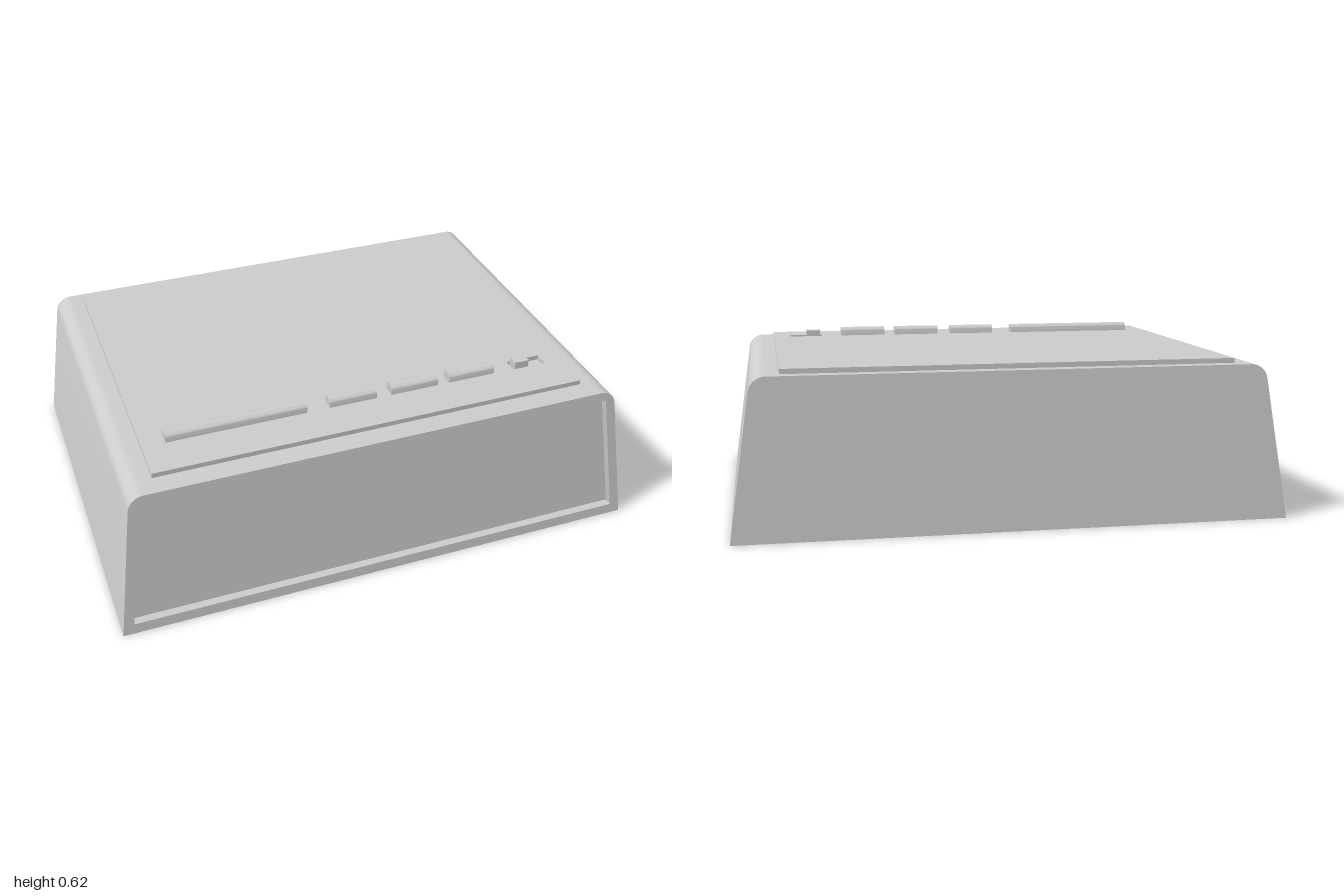
import * as THREE from 'three';
import { toCreasedNormals } from 'three/addons/utils/BufferGeometryUtils.js';

const H = 0.565;                              // height of the casing
const RECESS = 0.03;                          // depth of the front recess
const faceZ = (y) => 0.742 - 0.052 * y / H;   // sloping front and back faces
const material = new THREE.MeshStandardMaterial({ color: 0xcccccc });

function addMesh(group, name, geometry) {
  const mesh = new THREE.Mesh(toCreasedNormals(geometry, 0.5), material);
  mesh.name = name;
  group.add(mesh);
  return mesh;
}

function extrude(shape, depth) {
  return new THREE.ExtrudeGeometry(shape, { depth, bevelEnabled: false, curveSegments: 12 });
}

// Closed polygon used for openings
function polygon(points) {
  return new THREE.Path(points.map(([x, y]) => new THREE.Vector2(x, y)));
}

// Tapered cross-section with rounded top corners
function casingShape() {
  const r = 0.06, slope = 0.144, a = Math.atan(slope), cy = H - r;
  const cx = 1 - slope * cy - r / Math.cos(a);
  const s = new THREE.Shape();
  s.moveTo(-1, 0);
  s.lineTo(1, 0);
  s.absarc(cx, cy, r, a, Math.PI / 2, false);
  s.absarc(-cx, cy, r, Math.PI / 2, Math.PI - a, false);
  s.closePath();
  return s;
}

// Unit-depth extrusion stretched between two sloping faces
function slopedExtrude(shape, back, front) {
  const g = extrude(shape, 1);
  const p = g.attributes.position;
  for (let i = 0; i < p.count; i++) {
    const y = p.getY(i);
    p.setZ(i, p.getZ(i) < 0.5 ? back(y) : front(y));
  }
  return g;
}

export function createModel() {
  const model = new THREE.Group();
  model.name = 'tabletopDevice';

  // Casing and the raised rim around the front panel
  const panelZ = (y) => faceZ(y) - RECESS;
  addMesh(model, 'casing', slopedExtrude(casingShape(), (y) => -faceZ(y), panelZ));
  const rim = casingShape();
  rim.holes.push(polygon([[-0.957, 0.04], [-0.888, 0.53], [0.888, 0.53], [0.957, 0.04]]));
  addMesh(model, 'frontRim', slopedExtrude(rim, panelZ, faceZ));

  // Top plate with the slot for the slider switch (shape y = -z)
  const plate = new THREE.Shape();
  plate.moveTo(-0.82, -0.61);
  plate.lineTo(0.82, -0.61);
  plate.lineTo(0.82, 0.64);
  plate.lineTo(-0.82, 0.64);
  plate.closePath();
  plate.holes.push(polygon([[0.617, -0.46], [0.617, -0.405], [0.752, -0.405], [0.752, -0.46]]));
  const topPlate = addMesh(model, 'topPlate', extrude(plate, 0.018));
  topPlate.rotation.x = -Math.PI / 2;
  topPlate.position.y = H;

  // Row of buttons with domed tops
  const w = 0.024;
  const dome = new THREE.Shape();
  dome.moveTo(-w, 0);
  dome.lineTo(w, 0);
  dome.lineTo(w, 0.034);
  dome.absellipse(0, 0.034, w, 0.018, 0, Math.PI, false);
  dome.closePath();
  const buttons = new THREE.Group();
  buttons.name = 'buttons';
  model.add(buttons);
  [[-0.735, -0.21], [-0.125, 0.06], [0.117, 0.305], [0.35, 0.535]].forEach(([x0, x1], i) => {
    const button = addMesh(buttons, i === 0 ? 'longButton' : 'shortButton' + i, extrude(dome, x1 - x0));
    button.rotation.y = Math.PI / 2;
    button.position.set(x0, H, 0.434);
  });

  // Slider switch
  const knob = addMesh(model, 'sliderKnob', new THREE.BoxGeometry(0.056, 0.042, 0.044));
  knob.position.set(0.655, H + 0.021, 0.432);

  return model;
}
